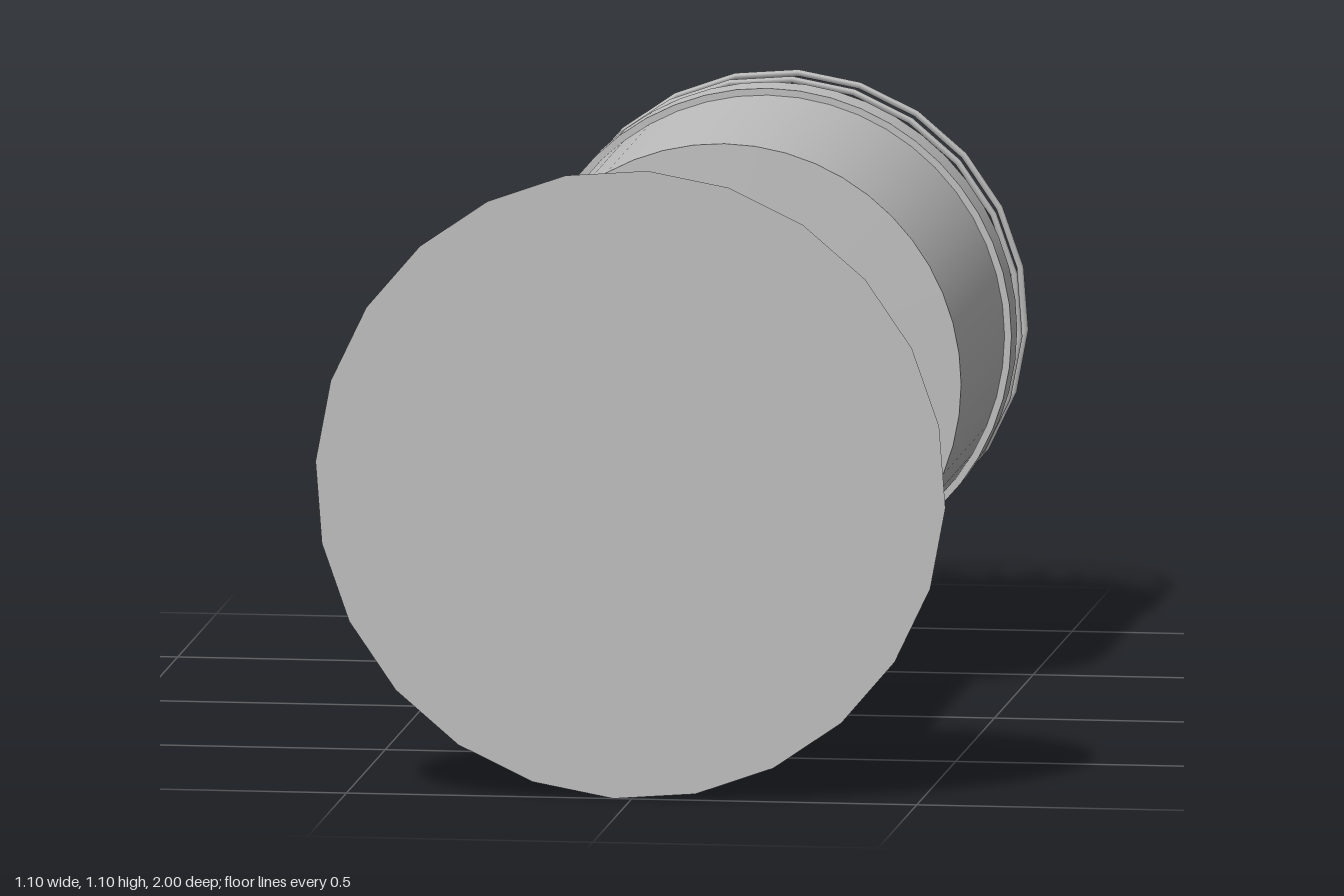
import * as THREE from 'three';

export function createModel() {
  const model = new THREE.Group();
  model.name = 'waterTower';
  const grey = new THREE.MeshStandardMaterial({ color: 0xbfbfbf });
  grey.name = 'grey';
  const greySheet = new THREE.MeshStandardMaterial({ color: 0xbfbfbf, side: THREE.DoubleSide });
  greySheet.name = 'grey sheet';

  // The tower lies along z with its foot at +z; everything shares this axis.
  const tower = new THREE.Group();
  tower.name = 'tower';
  tower.position.set(-0.002, 0.555, 0);
  model.add(tower);

  const deg = Math.PI / 180;
  const step = 15 * deg;
  const ladderAngle = 161.9 * deg;

  function add(name, geometry, parent = tower, material = grey) {
    const mesh = new THREE.Mesh(geometry, material);
    mesh.name = name;
    parent.add(mesh);
    return mesh;
  }

  // Round section from z0 (foot side) to z1 (roof side)
  function drum(name, r0, r1, z0, z1, open = false) {
    const g = new THREE.CylinderGeometry(r1, r0, z0 - z1, 48, 1, open);
    g.rotateX(-Math.PI / 2);
    g.translate(0, 0, (z0 + z1) / 2);
    return add(name, g);
  }

  // Ground disc
  add('groundDisc', new THREE.CircleGeometry(0.553, 24, ladderAngle), tower, greySheet).position.z = 1;

  // Column, tank and roof
  drum('column', 0.233, 0.233, 0.999, -0.205, true);
  drum('tankFloor', 0.225, 0.415, -0.203, -0.21, true);
  drum('tank', 0.415, 0.415, -0.21, -0.775, true);
  drum('collar', 0.427, 0.427, -0.77, -0.845);
  drum('roof', 0.427, 0.107, -0.845, -0.962, true);
  drum('roofCap', 0.107, 0.107, -0.955, -1);

  // Railing hoops, open at the ladder
  for (const z of [-0.916, -0.994]) {
    const hoop = add('railingHoop', new THREE.TorusGeometry(0.421, 0.006, 6, 22, 22 * step));
    hoop.rotation.z = ladderAngle + step;
    hoop.position.z = z;
  }

  // Railing posts around the roof, skipping the ladder opening
  const postGeometry = new THREE.CylinderGeometry(0.006, 0.006, 0.125, 6).rotateX(Math.PI / 2);
  for (let i = 1; i < 24; i++) {
    const a = ladderAngle + i * step;
    add('railingPost', postGeometry).position.set(0.339 * Math.cos(a), 0.339 * Math.sin(a), -0.9365);
  }

  // Ladder, built with local x pointing outward from the axis
  const ladder = new THREE.Group();
  ladder.name = 'ladder';
  ladder.rotation.z = ladderAngle;
  tower.add(ladder);
  const radius = 0.457, hook = 0.047, topZ = -0.855, halfWidth = 0.041;
  for (const side of [-1, 1]) {
    const y = side * halfWidth;
    const rail = new THREE.CylinderGeometry(0.005, 0.005, 1 - topZ, 6).rotateX(Math.PI / 2);
    add('ladderRail', rail, ladder).position.set(radius, y, (1 + topZ) / 2);

    // Hooked end over the roof edge
    const points = [];
    for (let i = 0; i <= 8; i++) {
      const a = i * Math.PI / 8;
      points.push(new THREE.Vector3(radius - hook + hook * Math.cos(a), y, topZ - hook * Math.sin(a)));
    }
    points.push(new THREE.Vector3(radius - 2 * hook, y, topZ + 0.01));
    add('ladderHook', new THREE.TubeGeometry(new THREE.CatmullRomCurve3(points), 16, 0.005, 6), ladder);
  }
  const rungGeometry = new THREE.CylinderGeometry(0.004, 0.004, 2 * halfWidth + 0.016, 6);
  for (let i = 0; i < 30; i++) {
    add('ladderRung', rungGeometry, ladder).position.set(radius, 0, 0.93 - i * 0.06);
  }

  return model;
}
